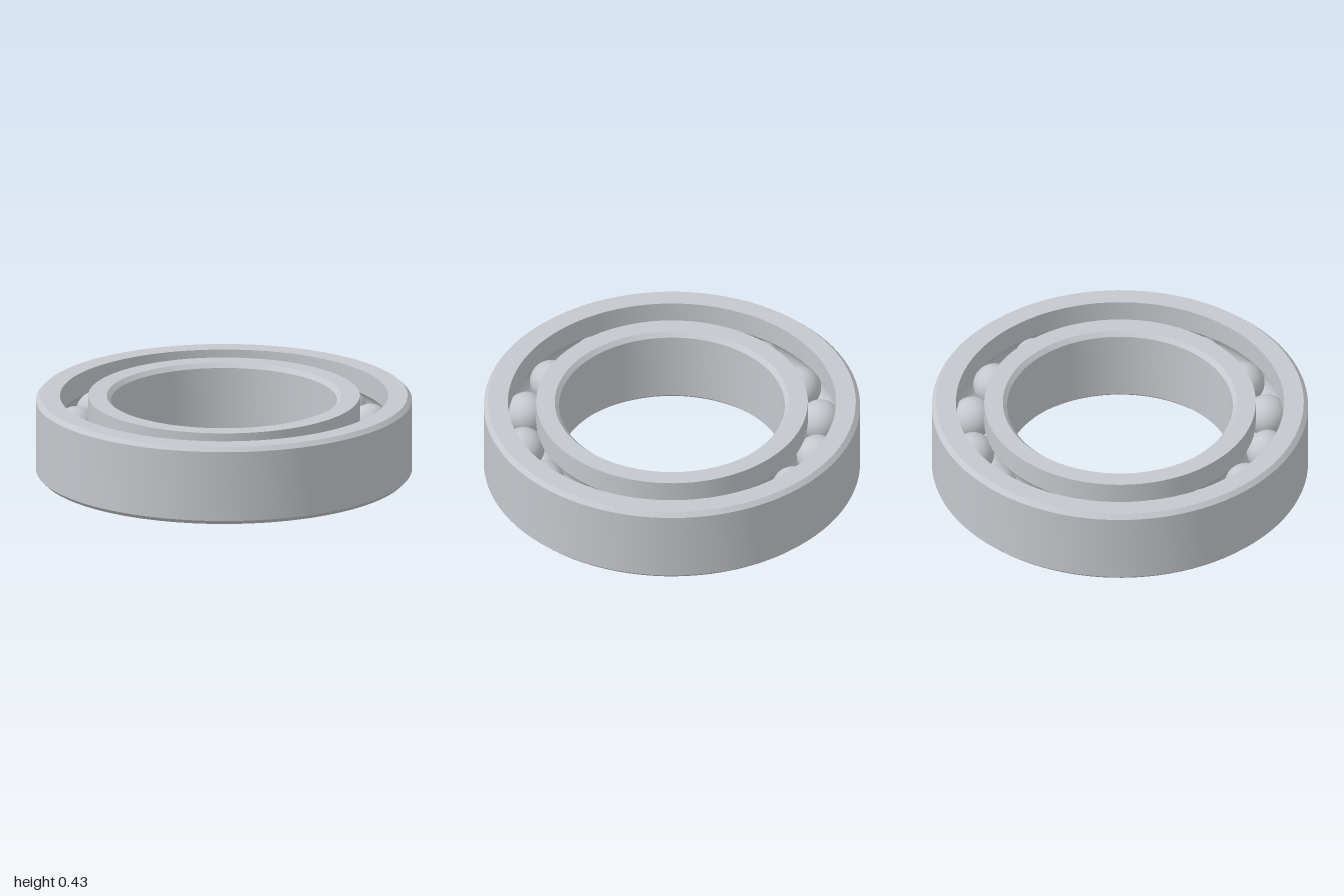
import * as THREE from 'three';
import { toCreasedNormals } from 'three/addons/utils/BufferGeometryUtils.js';

const HEIGHT = 0.427, MID = HEIGHT / 2, CHAMFER = 0.023;
const PITCH = 0.797, BALL = 0.112, GROOVE = 0.114, BALLS = 16;
const INNER_LAND = 0.722, OUTER_LAND = 0.872;

// Points of the ball groove, from one edge of the land to the other
function groove(land, rising) {
  const side = Math.sign(land - PITCH);
  const half = Math.acos(Math.abs(land - PITCH) / GROOVE);
  const points = [];
  for (let i = 0; i <= 12; i++) {
    const a = (rising ? 1 : -1) * half * (i / 6 - 1);
    points.push([PITCH + side * GROOVE * Math.cos(a), MID + GROOVE * Math.sin(a)]);
  }
  return points;
}

// Closed profile spun around the vertical axis, with sharp chamfers
function ring(name, profile, material) {
  const points = [...profile, profile[0]].map(([x, y]) => new THREE.Vector2(x, y));
  const geometry = new THREE.LatheGeometry(points, 96);
  const mesh = new THREE.Mesh(toCreasedNormals(geometry, 0.5), material);
  mesh.name = name;
  return mesh;
}

export function createModel() {
  const model = new THREE.Group();
  model.name = 'ballBearing';
  const steel = new THREE.MeshStandardMaterial({ color: 0xc4c7cc });
  steel.name = 'steel';

  // Outer race: chamfered outside, grooved inside
  model.add(ring('outerRace', [
    [OUTER_LAND, 0], [1 - CHAMFER, 0], [1, CHAMFER],
    [1, HEIGHT - CHAMFER], [1 - CHAMFER, HEIGHT], [OUTER_LAND, HEIGHT],
    ...groove(OUTER_LAND, false),
  ], steel));

  // Inner race: grooved outside, chamfered bore
  model.add(ring('innerRace', [
    [0.6 + CHAMFER, 0], [INNER_LAND, 0],
    ...groove(INNER_LAND, true),
    [INNER_LAND, HEIGHT], [0.6 + CHAMFER, HEIGHT],
    [0.6, HEIGHT - CHAMFER], [0.6, CHAMFER],
  ], steel));

  // Balls between the races
  const balls = new THREE.Group();
  balls.name = 'balls';
  const ballGeometry = new THREE.SphereGeometry(BALL, 32, 20);
  for (let i = 0; i < BALLS; i++) {
    const a = (i / BALLS) * Math.PI * 2;
    const ball = new THREE.Mesh(ballGeometry, steel);
    ball.name = 'ball';
    ball.position.set(PITCH * Math.cos(a), MID, PITCH * Math.sin(a));
    balls.add(ball);
  }
  model.add(balls);
  return model;
}
